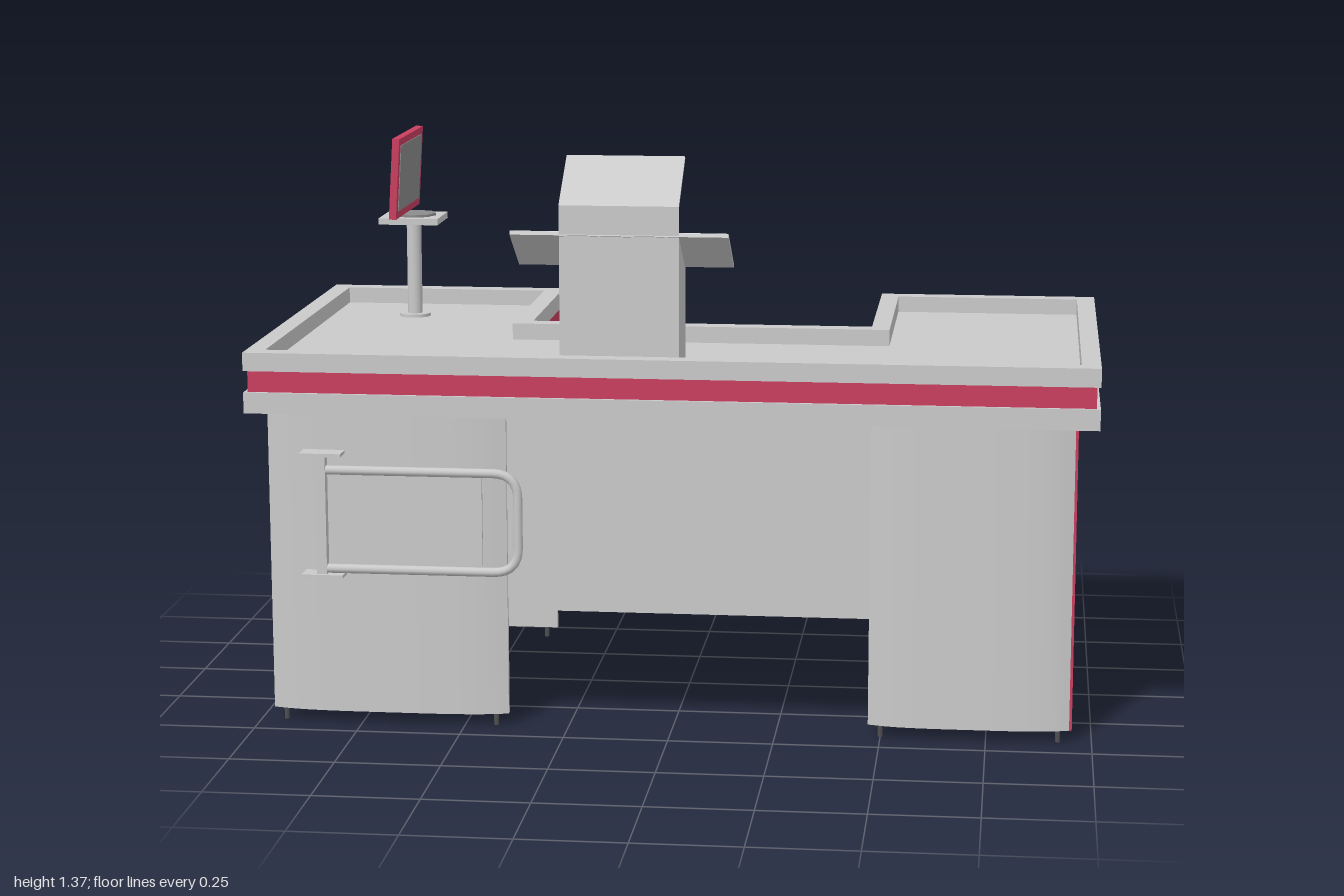
import * as THREE from 'three';
import { toCreasedNormals } from 'three/addons/utils/BufferGeometryUtils.js';

const mat = (name, color) => {
  const m = new THREE.MeshStandardMaterial({ color, side: THREE.DoubleSide });
  m.name = name;
  return m;
};

export function createModel() {
  const grey = mat('light grey laminate', 0xcacaca);
  const red = mat('crimson trim', 0xcb3f60);
  const screenGrey = mat('screen grey', 0x8c8c8c);
  const dark = mat('dark plastic', 0x505050);
  const white = mat('white tray', 0xececec);
  const root = new THREE.Group();

  const add = (name, geo, material, parent = root) => {
    const m = new THREE.Mesh(geo, material);
    m.name = name;
    parent.add(m);
    return m;
  };
  // Box given by its limits on each axis
  const box = (name, x0, x1, y0, y1, z0, z1, material, parent = root) => {
    const m = add(name, new THREE.BoxGeometry(x1 - x0, y1 - y0, z1 - z0), material, parent);
    m.position.set((x0 + x1) / 2, (y0 + y1) / 2, (z0 + z1) / 2);
    return m;
  };
  const cyl = (name, r, x, y0, y1, z, material, sides = 16) => {
    const m = add(name, new THREE.CylinderGeometry(r, r, y1 - y0, sides), material);
    m.position.set(x, (y0 + y1) / 2, z);
    return m;
  };
  // Plan points (x, z) raised from y0 to y1
  const plan = pts => pts.map(([x, z]) => new THREE.Vector2(x, -z));
  const raise = (shape, y0, y1) =>
    new THREE.ExtrudeGeometry(shape, { depth: y1 - y0, bevelEnabled: false, curveSegments: 16 })
      .rotateX(-Math.PI / 2).translate(0, y0, 0);

  // U-shaped counter outline, shrunk by d
  const counter = d => plan([
    [-1 + d, 0.52 - d], [1 - d, 0.52 - d], [1 - d, -0.52 + d], [0.45 + d, -0.52 + d],
    [0.45 + d, d], [-0.39 - d, d], [-0.39 - d, -0.52 + d], [-1 + d, -0.52 + d]]);
  add('lowerCounterBand', raise(new THREE.Shape(counter(0)), 0.775, 0.825), grey);
  add('redCounterBand', raise(new THREE.Shape(counter(0.009)), 0.825, 0.876), red);
  add('counterFloor', raise(new THREE.Shape(counter(0.03)), 0.876, 0.88), grey);
  const rim = new THREE.Shape(counter(0));
  rim.holes.push(new THREE.Path(counter(0.045)));
  add('counterRim', raise(rim, 0.876, 0.92), grey);
  box('underCounterRail', -1, -0.4, 0.757, 0.775, -0.45, 0.39, grey);

  // Cabinet body below the counter, with an open bay in the right arm
  const body = bay => new THREE.Shape(plan([
    [-0.96, 0.4], [0.945, 0.4], [0.945, -0.395], [0.475, -0.395], [0.475, 0.18], [-0.4, 0.18],
    ...(bay ? [[-0.4, -0.06], [-0.9, -0.06], [-0.9, -0.38], [-0.4, -0.38]] : []),
    [-0.4, -0.395], [-0.96, -0.395]]));
  add('cabinetFloor', raise(body(false), 0.285, 0.3), grey);
  add('cabinetWalls', raise(body(true), 0.3, 0.6), grey);
  add('cabinetTop', raise(body(false), 0.6, 0.775), grey);
  box('drawerFront', -0.4, -0.393, 0.6, 0.745, -0.38, -0.06, red);
  box('drawerHandle', -0.393, -0.382, 0.67, 0.685, -0.25, -0.18, grey);

  // Bowed leg panels, one at each corner, with small feet
  for (const s of [1, -1]) {
    for (const [x0, x1] of [[-0.97, -0.395], [0.47, 0.95]]) {
      const mid = (x0 + x1) / 2, h = (x1 - x0) / 2;
      const edge = [];
      for (let i = 0; i <= 20; i++) {
        const t = -1 + i / 10;
        edge.push([mid + t * h, s * (0.409 + 0.021 * (1 - t ** 4))]);
      }
      const pts = plan([[x0, s * 0.396], ...edge, [x1, s * 0.396]]);
      const leg = raise(new THREE.Shape(pts), 0.028, 0.775);
      add(s > 0 ? 'frontLegPanel' : 'backLegPanel', toCreasedNormals(leg, 0.5), grey);
      for (const x of [x0 + 0.03, x1 - 0.03])
        cyl('foot', 0.006, x, 0, 0.03, s * 0.41, dark, 8);
    }
  }
  box('redLegBacking', 0.472, 0.952, 0.028, 0.285, 0.39, 0.397, red);
  box('redFrontLegEdge', 0.944, 0.953, 0.028, 0.77, 0.392, 0.41, red);
  box('redBackLegEdge', 0.944, 0.953, 0.028, 0.77, -0.402, -0.391, red);

  // Swing gate on the front
  const gate = new THREE.Group();
  gate.name = 'swingGate';
  root.add(gate);
  box('gatePost', -0.845, -0.82, 0.375, 0.67, 0.445, 0.47, grey, gate);
  for (const y of [0.37, 0.665]) box('gateBracket', -0.88, -0.78, y, y + 0.008, 0.42, 0.48, grey, gate);
  const path = new THREE.CurvePath();
  const v = (x, y) => new THREE.Vector3(x, y, 0.458);
  path.add(new THREE.LineCurve3(v(-0.83, 0.63), v(-0.42, 0.63)));
  path.add(new THREE.QuadraticBezierCurve3(v(-0.42, 0.63), v(-0.36, 0.63), v(-0.36, 0.57)));
  path.add(new THREE.LineCurve3(v(-0.36, 0.57), v(-0.36, 0.45)));
  path.add(new THREE.QuadraticBezierCurve3(v(-0.36, 0.45), v(-0.36, 0.39), v(-0.42, 0.39)));
  path.add(new THREE.LineCurve3(v(-0.42, 0.39), v(-0.83, 0.39)));
  add('gateTube', new THREE.TubeGeometry(path, 80, 0.011, 10), grey, gate);
  box('gatePlate', -0.69, -0.45, 0.4, 0.62, 0.428, 0.436, grey, gate);

  // Keyboard pillar with a sloping top; side profile in (z, y)
  const side = (pts, x0, x1) => {
    const shape = new THREE.Shape(pts.map(([z, y]) => new THREE.Vector2(-z, y)));
    return new THREE.ExtrudeGeometry(shape, { depth: x1 - x0, bevelEnabled: false })
      .rotateY(Math.PI / 2).translate(x0, 0, 0);
  };
  add('pillar', side([[0.335, 0.88], [0.472, 0.88], [0.472, 1.205], [0.335, 1.115]], -0.255, 0.025), grey);
  add('pillarScreen', side([[0.468, 1.2], [0.475, 1.2], [0.475, 1.272], [0.335, 1.373],
    [0.335, 1.367], [0.468, 1.269]], -0.255, 0.025), grey);

  // Tilted tray and keyboard
  const tray = new THREE.Group();
  tray.name = 'keyboardTray';
  tray.position.set(-0.115, 1.163, 0.404);
  tray.rotation.x = -Math.atan2(0.09, 0.137);
  root.add(tray);
  box('trayBase', -0.255, 0.255, -0.007, 0.003, -0.082, 0.082, grey, tray);
  box('trayTop', -0.25, 0.25, 0.003, 0.006, -0.077, 0.077, white, tray);
  box('keyboard', -0.21, 0.21, 0.006, 0.022, -0.08, 0.035, grey, tray);
  for (let r = 0; r < 5; r++)
    for (let c = 0; c < 17; c++)
      box('key', -0.196 + c * 0.0232, -0.182 + c * 0.0232, 0.022, 0.026,
        -0.07 + r * 0.02, -0.058 + r * 0.02, dark, tray);

  // Monitor on its stand
  cyl('monitorPole', 0.019, -0.743, 0.88, 1.125, -0.288, grey);
  cyl('poleFlange', 0.04, -0.743, 0.88, 0.888, -0.288, grey);
  box('standPlate', -0.82, -0.668, 1.125, 1.141, -0.36, -0.213, grey);
  cyl('monitorBase', 0.055, -0.74, 1.141, 1.147, -0.288, screenGrey, 8);
  box('monitorNeck', -0.785, -0.765, 1.145, 1.22, -0.31, -0.26, red);
  const monitor = new THREE.Group();
  monitor.name = 'monitor';
  monitor.position.set(-0.76, 1.252, -0.283);
  monitor.rotation.z = -0.06;
  root.add(monitor);
  box('monitorCase', -0.009, 0.009, -0.102, 0.102, -0.159, 0.159, red, monitor);
  box('monitorScreen', 0.009, 0.011, -0.083, 0.084, -0.138, 0.138, screenGrey, monitor);
  box('monitorBackPlate', -0.013, -0.009, -0.035, 0.035, -0.04, 0.04, screenGrey, monitor);

  return root;
}
